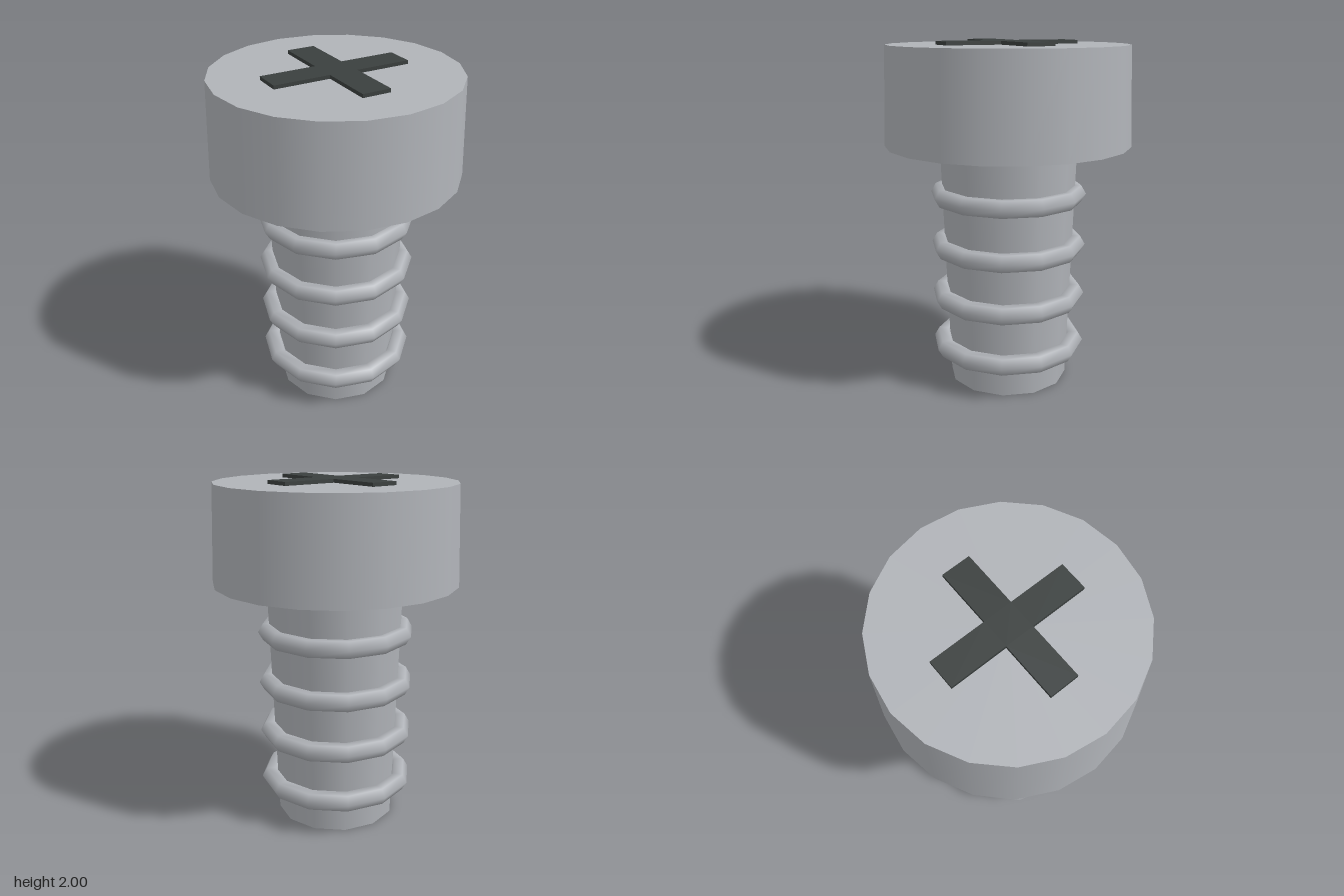
import * as THREE from 'three';

export function createModel() {
  const model = new THREE.Group();
  const steel = new THREE.MeshStandardMaterial({ name: 'steel grey', color: 0xb0b3b8 });
  const dark = new THREE.MeshStandardMaterial({ name: 'dark recess', color: 0x3a3f3e });

  function add(name, geometry, material, y) {
    const mesh = new THREE.Mesh(geometry, material);
    mesh.name = name;
    mesh.position.y = y;
    model.add(mesh);
  }

  // Tapered shaft, narrower at the tip
  const shaftHeight = 1.42;
  add('shaft', new THREE.CylinderGeometry(0.4, 0.352, shaftHeight, 12), steel, shaftHeight / 2);

  // Broad head, slightly tapered towards the top
  add('head', new THREE.CylinderGeometry(0.684, 0.704, 0.56, 20), steel, 1.7);

  // Evenly spaced thread rings with a six-sided section
  for (let i = 0; i < 4; i++) {
    const ring = new THREE.TorusGeometry(0.4, 0.056, 6, 12).rotateX(Math.PI / 2);
    add(`threadRing${i + 1}`, ring, steel, 0.213 + i * 0.306);
  }

  // Cross drive mark on the head
  const a = 0.4, b = 0.081;
  const cross = new THREE.Shape([
    [a, -b], [a, b], [b, b], [b, a], [-b, a], [-b, b],
    [-a, b], [-a, -b], [-b, -b], [-b, -a], [b, -a], [b, -b],
  ].map(([x, y]) => new THREE.Vector2(x, y)));
  const mark = new THREE.ExtrudeGeometry(cross, { depth: 0.03, bevelEnabled: false });
  add('crossDrive', mark.rotateX(-Math.PI / 2), dark, 1.97);

  return model;
}
